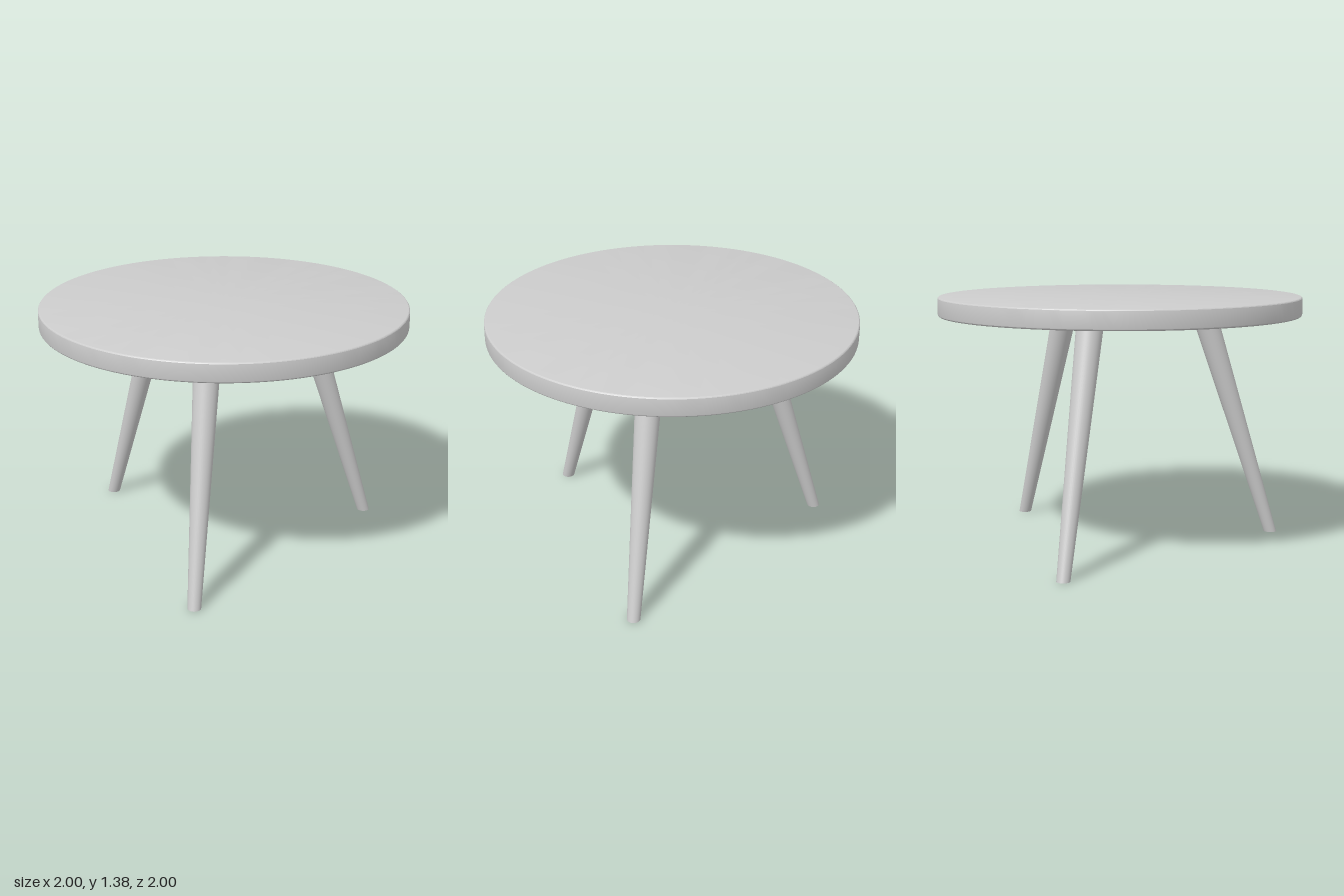
import * as THREE from 'three';
import { toCreasedNormals } from 'three/addons/utils/BufferGeometryUtils.js';

const UNDERSIDE = 1.28, TOP = 1.385, RADIUS = 1, BEVEL = 0.012;
const LEG_IN = 0.48, LEG_OUT = 0.893; // leg distance from the centre: at the underside, at the floor

const material = new THREE.MeshStandardMaterial({ color: 0xcccccc });

// Round disc with small rounded edges
function makeTabletop() {
  const profile = [new THREE.Vector2(0, UNDERSIDE)];
  for (const [y, start] of [[UNDERSIDE + BEVEL, -Math.PI / 2], [TOP - BEVEL, 0]]) {
    for (let i = 0; i <= 4; i++) {
      const a = start + (i / 4) * (Math.PI / 2);
      profile.push(new THREE.Vector2(RADIUS - BEVEL + BEVEL * Math.cos(a), y + BEVEL * Math.sin(a)));
    }
  }
  profile.push(new THREE.Vector2(0, TOP));
  const mesh = new THREE.Mesh(toCreasedNormals(new THREE.LatheGeometry(profile, 128), 0.3), material);
  mesh.name = 'tabletop';
  return mesh;
}

// Tapered leg, sheared outwards so both ends stay level
function makeLeg(name, angle) {
  const geometry = new THREE.CylinderGeometry(0.073, 0.036, UNDERSIDE, 40);
  geometry.translate(0, UNDERSIDE / 2, 0);
  const lean = (LEG_IN - LEG_OUT) / UNDERSIDE;
  geometry.applyMatrix4(new THREE.Matrix4().set(
    1, lean, 0, LEG_OUT,
    0, 1, 0, 0,
    0, 0, 1, 0,
    0, 0, 0, 1
  ));
  const mesh = new THREE.Mesh(geometry, material);
  mesh.name = name;
  mesh.rotation.y = angle;
  return mesh;
}

export function createModel() {
  const table = new THREE.Group();
  table.name = 'roundTable';
  table.add(makeTabletop());
  // Three legs evenly spaced, one pointing to -x
  ['backLeg', 'sideLeg', 'frontLeg'].forEach((name, i) => {
    table.add(makeLeg(name, Math.PI / 3 + (i * Math.PI * 2) / 3));
  });
  return table;
}
